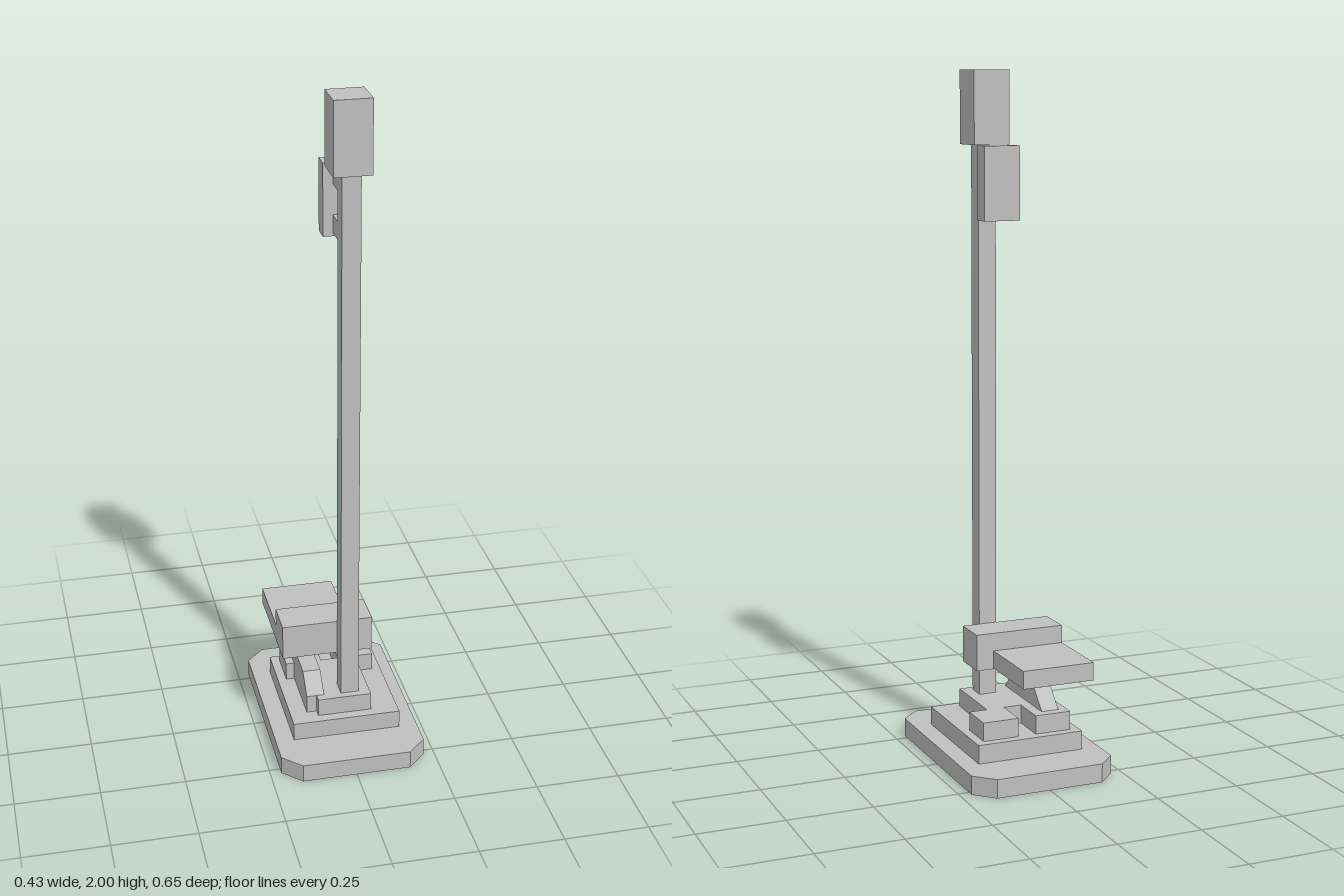
import * as THREE from 'three';

export function createModel() {
  const group = new THREE.Group();
  const grey = new THREE.MeshStandardMaterial({ color: 0xc0c0c0 });
  grey.name = 'plain grey';

  const add = (name, geometry) => {
    const mesh = new THREE.Mesh(geometry, grey);
    mesh.name = name;
    group.add(mesh);
    return mesh;
  };
  // Block given by its extents along each axis
  const block = (name, x0, x1, y0, y1, z0, z1) =>
    add(name, new THREE.BoxGeometry(x1 - x0, y1 - y0, z1 - z0))
      .position.set((x0 + x1) / 2, (y0 + y1) / 2, (z0 + z1) / 2);
  // Flat-sided prism from an outline
  const prism = (points, depth) => new THREE.ExtrudeGeometry(
    new THREE.Shape(points.map(([a, b]) => new THREE.Vector2(a, b))),
    { depth, bevelEnabled: false });

  // Bottom slab with cut corners
  const w = 0.217, l = 0.325, c = 0.055;
  add('baseSlab', prism([
    [-w + c, -l], [w - c, -l], [w, -l + c], [w, l - c],
    [w - c, l], [-w + c, l], [-w, l - c], [-w, -l + c],
  ], 0.055).rotateX(-Math.PI / 2));

  // Stepped plinth with two blocks at the back
  block('middleStep', -0.162, 0.162, 0.055, 0.11, -0.19, 0.19);
  block('topStep', -0.081, 0.081, 0.11, 0.165, -0.055, 0.16);
  block('rightBackBlock', -0.136, -0.027, 0.11, 0.165, -0.163, -0.055);
  block('leftBackBlock', 0.027, 0.136, 0.11, 0.165, -0.163, -0.055);

  // Low rail with sloping ends, its length along z
  add('slopedRail', prism([
    [-0.135, 0.11], [0.135, 0.11], [0.135, 0.165],
    [0.081, 0.22], [-0.081, 0.22], [-0.135, 0.165],
  ], 0.053).rotateY(-Math.PI / 2)).position.x = -0.058;

  // Box and shelf behind the post
  block('shelfBox', -0.172, 0.1, 0.275, 0.383, -0.025, 0.083);
  block('shelfPlate', -0.172, 0.047, 0.277, 0.33, -0.243, -0.025);

  // Tall post and its head
  block('post', -0.007, 0.047, 0.165, 1.79, 0.085, 0.138);
  block('postHead', -0.035, 0.073, 1.79, 2, 0.05, 0.159);

  // Rear panel held by two brackets
  block('rearPanel', -0.035, 0.073, 1.58, 1.79, -0.025, 0.028);
  for (const y of [1.59, 1.73])
    block('panelBracket', -0.007, 0.047, y, y + 0.052, 0.028, 0.085);

  return group;
}
